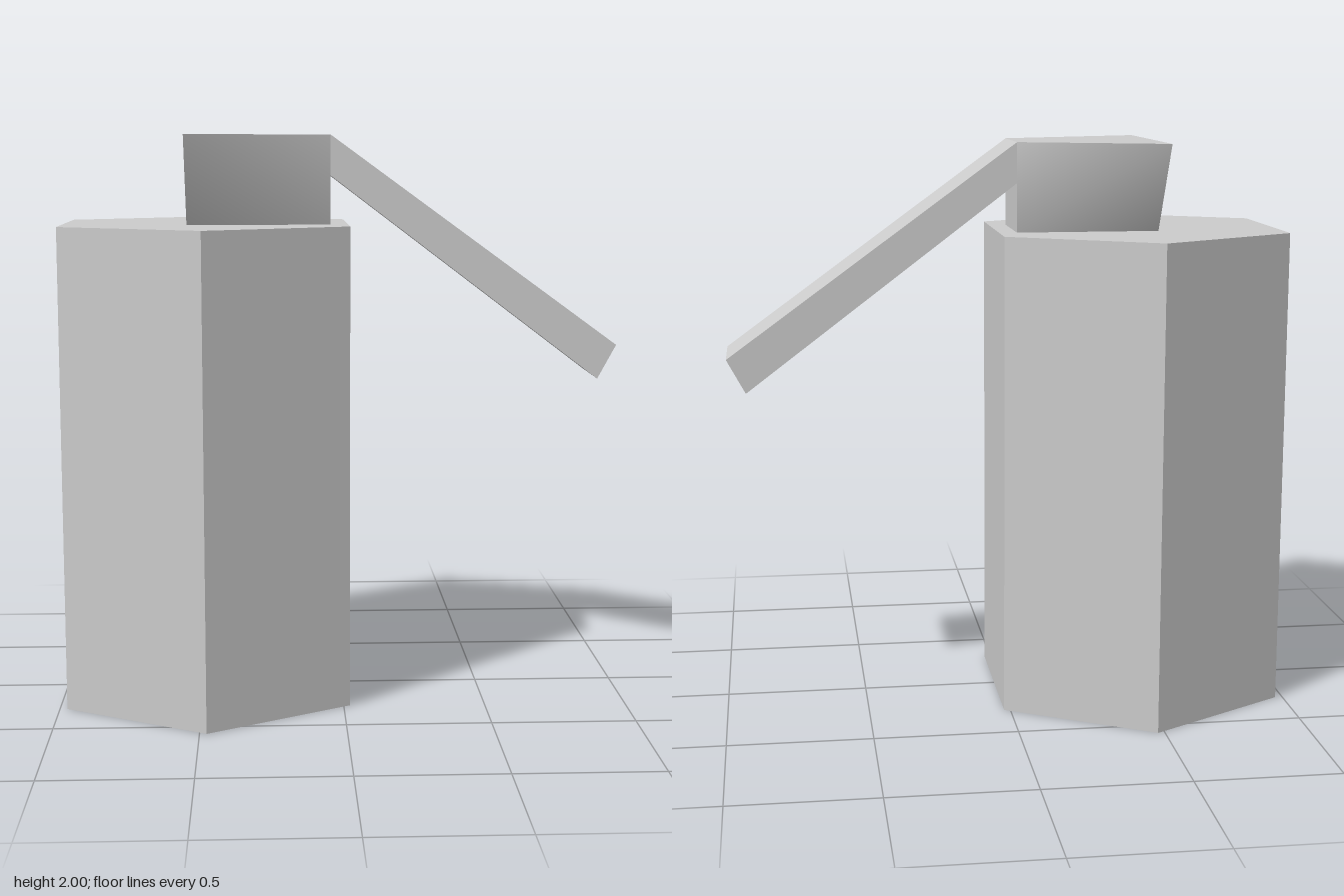
import * as THREE from 'three';

export function createModel() {
  const group = new THREE.Group();
  const flat = new THREE.MeshStandardMaterial({ color: 0xcccccc, flatShading: true });
  const smooth = new THREE.MeshStandardMaterial({ color: 0xcccccc });

  const add = (name, geometry, material) => {
    const mesh = new THREE.Mesh(geometry, material);
    mesh.name = name;
    group.add(mesh);
    return mesh;
  };

  // Hexagonal body with corners towards front and back
  const bodyHeight = 1.69;
  const body = add('body', new THREE.CylinderGeometry(0.575, 0.575, bodyHeight, 6), flat);
  body.position.set(-0.476, bodyHeight / 2, 0);

  // Spout: a block whose upper outer edge flares sideways, giving twisted sides
  const spout = new THREE.BoxGeometry(0.5, 0.31, 0.3);
  spout.translate(-0.29, 1.845, 0);
  const p = spout.attributes.position;
  for (let i = 0; i < p.count; i++) {
    if (p.getX(i) < -0.3 && p.getY(i) > 1.9) p.setZ(i, Math.sign(p.getZ(i)) * 0.345);
  }
  // Split the front side along the same diagonal as the back side
  [16, 18, 19, 16, 19, 17].forEach((v, i) => spout.index.setX(24 + i, v));
  spout.computeVertexNormals();
  add('spout', spout, smooth);

  // Sloping handle, flush with the spout top
  const profile = new THREE.Shape([
    [-0.04, 2], [-0.04, 1.86], [0.905, 1.145], [0.97, 1.265],
  ].map(([x, y]) => new THREE.Vector2(x, y)));
  const handle = new THREE.ExtrudeGeometry(profile, { depth: 0.3, bevelEnabled: false });
  handle.translate(0, 0, -0.15);
  add('handle', handle, flat);

  return group;
}
